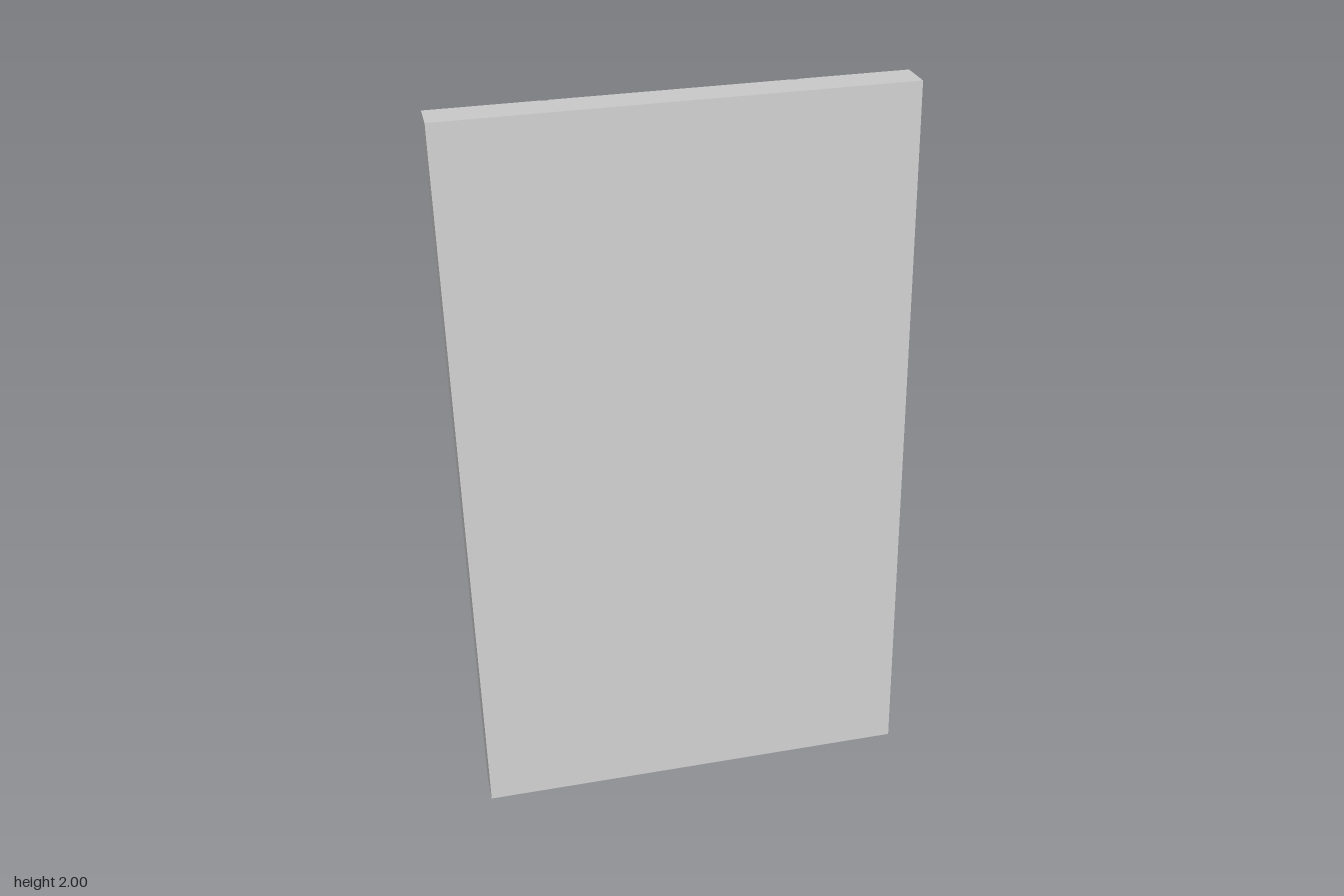
import * as THREE from 'three';

const LENGTH = 1.998, THICK = 0.1, HALF = 0.6;
const RAISE = 0.04, BEVEL_X = 0.02, BEVEL_Y = 0.07;
const GROOVE_IN = 0.3, GROOVE_OUT = 0.318, GROOVE_DEPTH = 0.003;

// Raised panel on the back face: a box whose outer face is drawn in
function raisedPanel(x0, x1, y0, y1) {
  const w = x1 - x0, h = y1 - y0;
  const geo = new THREE.BoxGeometry(w, h, RAISE);
  const p = geo.attributes.position;
  for (let i = 0; i < p.count; i++) {
    if (p.getZ(i) < 0) {
      p.setX(i, p.getX(i) - Math.sign(p.getX(i)) * BEVEL_X);
      p.setY(i, p.getY(i) - Math.sign(p.getY(i)) * BEVEL_Y);
    }
  }
  geo.computeVertexNormals();
  geo.translate((x0 + x1) / 2, (y0 + y1) / 2, -RAISE / 2);
  return geo;
}

// Board cross-section with two shallow grooves in its back edge
function boardGeometry() {
  const pts = [[-HALF, -THICK], [HALF, -THICK], [HALF, 0]];
  for (const s of [1, -1]) {
    const [a, b] = s > 0 ? [GROOVE_OUT, GROOVE_IN] : [-GROOVE_IN, -GROOVE_OUT];
    pts.push([a, 0], [a, -GROOVE_DEPTH], [b, -GROOVE_DEPTH], [b, 0]);
  }
  pts.push([-HALF, 0]);
  const shape = new THREE.Shape(pts.map(([x, y]) => new THREE.Vector2(x, y)));
  const geo = new THREE.ExtrudeGeometry(shape, { depth: LENGTH, bevelEnabled: false });
  return geo.rotateX(-Math.PI / 2);
}

export function createModel() {
  const model = new THREE.Group();
  model.name = 'leaningPanel';
  const material = new THREE.MeshStandardMaterial({ color: 0xcccccc, flatShading: true });

  // Everything is built upright, then leaned back
  const lean = new THREE.Group();
  lean.name = 'leaningBoard';
  lean.rotation.x = THREE.MathUtils.degToRad(-5);
  lean.position.z = 0.154 - THICK * Math.cos(lean.rotation.x);
  model.add(lean);

  const add = (name, geo) => {
    const mesh = new THREE.Mesh(geo, material);
    mesh.name = name;
    lean.add(mesh);
  };

  add('board', boardGeometry());

  // Chequered raised panels: sides in the top and bottom rows, centre in the middle
  for (const [side, s] of [['Left', 1], ['Right', -1]]) {
    const span = (a, b) => (s > 0 ? [a, b] : [-b, -a]);
    add(`upperPanel${side}`, raisedPanel(...span(GROOVE_OUT, HALF), 1.39, LENGTH));
    add(`middlePanel${side}`, raisedPanel(...span(0, GROOVE_IN), 0.79, 1.39));
    add(`lowerPanel${side}`, raisedPanel(...span(GROOVE_OUT, HALF), 0.185, 0.79));
  }
  return model;
}
